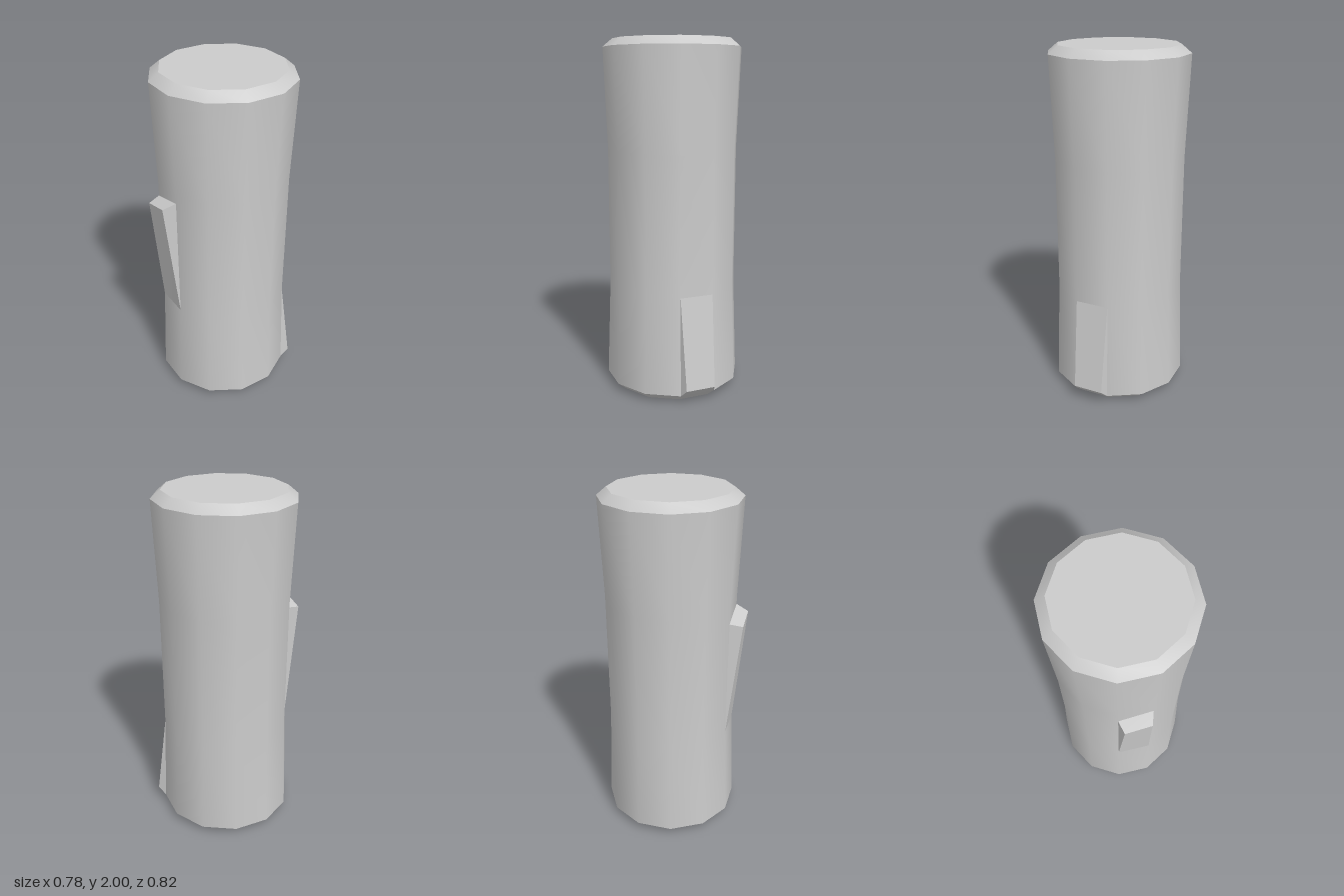
import * as THREE from 'three';
import { toCreasedNormals } from 'three/addons/utils/BufferGeometryUtils.js';

const SIDES = 12, CENTRE_Z = -0.022, END_R = 0.391, WAIST_R = 0.37;

export function createModel() {
  const group = new THREE.Group();
  group.name = 'log';
  const material = new THREE.MeshStandardMaterial({ color: 0xcccccc });

  const add = (name, geometry) => {
    const mesh = new THREE.Mesh(toCreasedNormals(geometry, 0.6), material);
    mesh.name = name;
    mesh.position.z = CENTRE_Z;
    group.add(mesh);
  };

  // Corner of the twelve-sided trunk
  const corner = (i, r, y) => {
    const a = (i / SIDES) * Math.PI * 2;
    return [r * Math.sin(a), y, r * Math.cos(a)];
  };

  // Trunk: slim waist, bevelled rims, flat ends
  const profile = [
    [0, 0], [0.337, 0], [END_R, 0.045], [WAIST_R, 0.61],
    [WAIST_R, 1.39], [END_R, 1.955], [0.337, 2], [0, 2],
  ].map(([r, y]) => new THREE.Vector2(r, y));
  add('trunk', new THREE.LatheGeometry(profile, SIDES));

  // Wedge that tapers from a raised end into the trunk at its tip
  const wedge = (inner, outer, tip) => {
    const geometry = new THREE.BufferGeometry();
    const points = [...inner, ...outer, ...tip].flat();
    geometry.setAttribute('position', new THREE.Float32BufferAttribute(points, 3));
    geometry.setIndex([
      2, 3, 1, 2, 1, 0, // end
      4, 5, 3, 4, 3, 2, // outer face
      4, 2, 0, 5, 1, 3, // sides
    ]);
    return geometry;
  };

  // Broken branch stub on the front, its end facing up
  add('frontStub', wedge(
    [corner(-1, WAIST_R, 1.3), corner(0, WAIST_R, 1.345)],
    [[-0.185, 1.285, 0.373 - CENTRE_Z], [-0.04, 1.318, 0.411 - CENTRE_Z]],
    [corner(-1, WAIST_R, 0.61), corner(0, WAIST_R, 0.61)],
  ));

  // Root flare at the back left, its end facing down
  add('rootFlare', wedge(
    [corner(5, END_R, 0.045), corner(4, END_R, 0.045)],
    [[0.24, 0.09, -0.382 - CENTRE_Z], [0.36, 0.09, -0.262 - CENTRE_Z]],
    [corner(5, WAIST_R, 0.61), corner(4, WAIST_R, 0.61)],
  ));

  return group;
}
